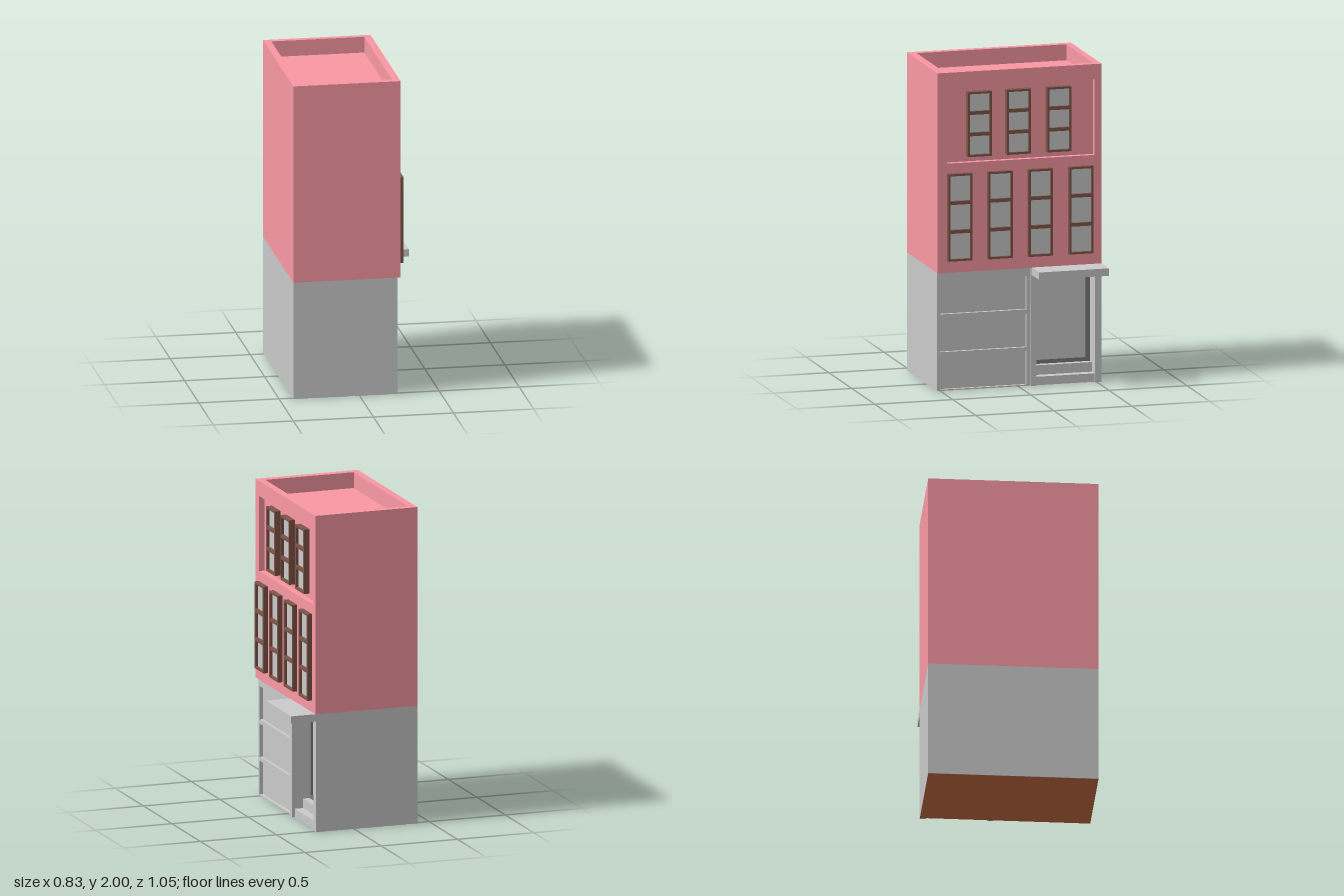
import * as THREE from 'three';

const material = (color) => new THREE.MeshStandardMaterial({ color, flatShading: true });

export function createModel() {
  const model = new THREE.Group();
  const grey = material(0xcccccc);
  const brick = material(0xfb99a5);
  const wood = material(0x80564a);
  const darkGrey = material(0x7c7c7c);
  const earth = material(0xcc7044);

  const add = (name, geometry, mat, parent = model) => {
    const mesh = new THREE.Mesh(geometry, mat);
    mesh.name = name;
    parent.add(mesh);
    return mesh;
  };

  // Box given by its limits on each axis
  const box = (name, mat, [x0, x1], [y0, y1], [z0, z1], parent) => {
    const g = new THREE.BoxGeometry(x1 - x0, y1 - y0, z1 - z0);
    g.translate((x0 + x1) / 2, (y0 + y1) / 2, (z0 + z1) / 2);
    return add(name, g, mat, parent);
  };

  const rect = (path, a0, a1, b0, b1) => {
    path.moveTo(a0, b0);
    path.lineTo(a1, b0);
    path.lineTo(a1, b1);
    path.lineTo(a0, b1);
    path.closePath();
    return path;
  };

  // Slab facing +x, pierced by rectangular holes; every rectangle is [z0, z1, y0, y1]
  const piercedWall = (name, mat, [x0, x1], [z0, z1, y0, y1], holes, parent) => {
    const shape = rect(new THREE.Shape(), -z1, -z0, y0, y1);
    for (const [h0, h1, v0, v1] of holes) shape.holes.push(rect(new THREE.Path(), -h1, -h0, v0, v1));
    const g = new THREE.ExtrudeGeometry(shape, { depth: x1 - x0, bevelEnabled: false });
    g.rotateY(Math.PI / 2);
    g.translate(x0, 0, 0);
    return add(name, g, mat, parent);
  };

  const back = -0.415, front = 0.255, side = 0.525, floorY = 0.745;

  // Upper storeys: core, front wall with a sunken panel, parapet around the roof
  box('upperCore', brick, [back, 0.22], [floorY, 1.9], [-side, side]);
  piercedWall('upperFrontWall', brick, [0.22, front], [-side, side, floorY, 2], [[-0.48, 0.465, 1.43, 1.905]]);
  const ring = rect(new THREE.Shape(), back, 0.22, -side, side);
  ring.holes.push(rect(new THREE.Path(), -0.37, 0.21, -0.475, 0.485));
  const parapet = new THREE.ExtrudeGeometry(ring, { depth: 0.1, bevelEnabled: false });
  parapet.rotateX(-Math.PI / 2);
  parapet.translate(0, 1.9, 0);
  add('roofParapet', parapet, brick);

  // Windows: wooden frame with three panes
  const addWindow = (name, [x0, x1], z, width, y0, y1, bars) => {
    const group = new THREE.Group();
    group.name = name;
    const z0 = z - width / 2, z1 = z + width / 2, rim = 0.013, half = 0.011;
    const levels = [y0 + rim - half, ...bars, y1 - rim + half];
    const panes = [0, 1, 2].map((i) => [z0 + rim, z1 - rim, levels[i] + half, levels[i + 1] - half]);
    piercedWall('windowFrame', wood, [x0, x1], [z0, z1, y0, y1], panes, group);
    box('windowGlass', grey, [x0 - 0.01, x1 - 0.018], [y0 + 0.005, y1 - 0.005], [z0 + 0.005, z1 - 0.005], group);
    model.add(group);
  };
  for (const z of [0.387, 0.13, -0.127, -0.388])
    addWindow('middleWindow', [0.25, 0.285], z, 0.155, 0.82, 1.367, [1.005, 1.186]);
  for (const z of [0.255, 0.005, -0.255])
    addWindow('topWindow', [0.215, 0.258], z, 0.155, 1.463, 1.87, [1.604, 1.738]);

  // Ground floor core with a notch for the entrance
  const plan = new THREE.Shape();
  const outline = [[back, -side], [0.215, -side], [0.215, 0.11], [0.12, 0.11],
    [0.12, 0.485], [0.215, 0.485], [0.215, side], [back, side]];
  plan.setFromPoints(outline.map(([x, y]) => new THREE.Vector2(x, y)));
  const ground = new THREE.ExtrudeGeometry(plan, { depth: floorY - 0.002, bevelEnabled: false });
  ground.rotateX(-Math.PI / 2);
  ground.translate(0, 0.002, 0);
  add('groundCore', ground, grey);

  // Garage wall with three sunken panels
  piercedWall('garageWall', grey, [0.215, 0.236], [-0.075, side, 0.002, floorY],
    [0.01, 0.245, 0.482].map((y) => [-0.05, 0.505, y, y + 0.21]));

  // Entrance: pillars, lintel, canopy, steps and door
  box('entrancePillar', grey, [0.2, 0.252], [0.002, floorY], [-0.11, -0.075]);
  box('entrancePillar', grey, [0.2, 0.252], [0.002, floorY], [-side, -0.485]);
  box('entranceLintel', grey, [0.11, 0.235], [0.702, floorY], [-0.49, -0.105]);
  box('canopy', grey, [0.23, 0.415], [0.7, 0.747], [-side - 0.001, -0.078]);
  box('lowerStep', grey, [0.11, 0.235], [0.002, 0.055], [-0.486, -0.109]);
  box('upperStep', grey, [0.11, 0.18], [0.05, 0.115], [-0.486, -0.109]);
  piercedWall('doorFrame', darkGrey, [0.115, 0.14], [-0.485, -0.11, 0.115, 0.702], [[-0.457, -0.136, 0.14, 0.675]]);
  box('doorPanel', grey, [0.11, 0.126], [0.13, 0.69], [-0.47, -0.12]);

  // Underside
  const base = new THREE.PlaneGeometry(0.236 - back, side * 2);
  base.rotateX(Math.PI / 2);
  base.translate((0.236 + back) / 2, 0, 0);
  add('underside', base, earth);

  return model;
}
